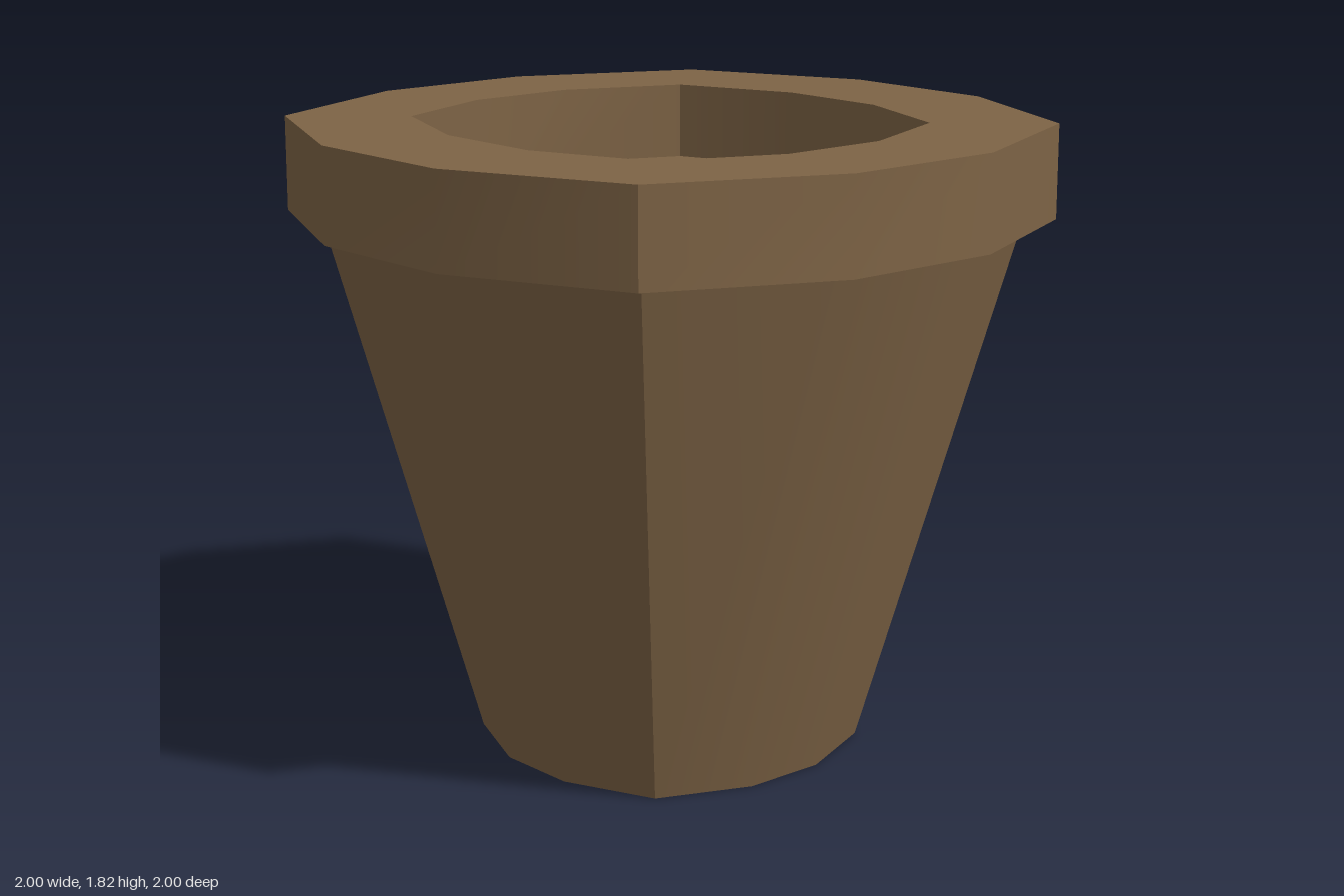
import * as THREE from 'three';
import { toCreasedNormals } from 'three/addons/utils/BufferGeometryUtils.js';

// Twelve-sided ring: four sides of three facets each, meeting at sharp diagonal corners.
// side = half width of the flat, corner = diagonal corner offset, both relative to r
function ring(y, r, corner = 0.77, side = 0.25, zScale = 1) {
  const pts = [];
  for (let q = 0; q < 4; q++) {
    const c = Math.round(Math.cos(q * Math.PI / 2)), s = Math.round(Math.sin(q * Math.PI / 2));
    for (const [x, z] of [[-side, 1], [side, 1], [corner, corner]]) {
      pts.push(new THREE.Vector3((x * c + z * s) * r, y, (z * c - x * s) * r * zScale));
    }
  }
  return pts;
}

// Skin consecutive rings; a ring of radius 0 closes the surface to a centre point.
function loft(rings) {
  const pos = [];
  const tri = (a, b, c) => {
    if (a.equals(b) || b.equals(c) || a.equals(c)) return;
    for (const p of [a, b, c]) pos.push(p.x, p.y, p.z);
  };
  for (let k = 0; k < rings.length - 1; k++) {
    const a = rings[k], b = rings[k + 1];
    for (let i = 0; i < a.length; i++) {
      const j = (i + 1) % a.length;
      tri(a[i], a[j], b[j]);
      tri(a[i], b[j], b[i]);
    }
  }
  const geo = new THREE.BufferGeometry();
  geo.setAttribute('position', new THREE.Float32BufferAttribute(pos, 3));
  return toCreasedNormals(geo, 0.56);
}

export function createModel() {
  const group = new THREE.Group();
  group.name = 'flowerPot';
  const clay = new THREE.MeshStandardMaterial({ color: 0x7d6345 });
  const add = (name, rings) => {
    const mesh = new THREE.Mesh(loft(rings), clay);
    mesh.name = name;
    group.add(mesh);
  };

  const baseY = 0, rimY = 1.545, topY = 1.815, soilY = 1.595;
  const bodyTop = ring(rimY, 0.905, 0.78);
  const opening = (y) => ring(y, 0.64, 0.79, 0.26, 1.04);

  // Tapered body with closed base
  add('body', [ring(baseY, 0), ring(baseY, 0.5, 0.78), bodyTop]);

  // Overhanging rim: underside, outer wall, top lip, inner wall
  add('rim', [bodyTop, ring(rimY, 1), ring(topY, 1), opening(topY), opening(soilY)]);

  // Flat soil surface inside the opening
  add('soil', [opening(soilY), ring(soilY, 0)]);

  return group;
}
